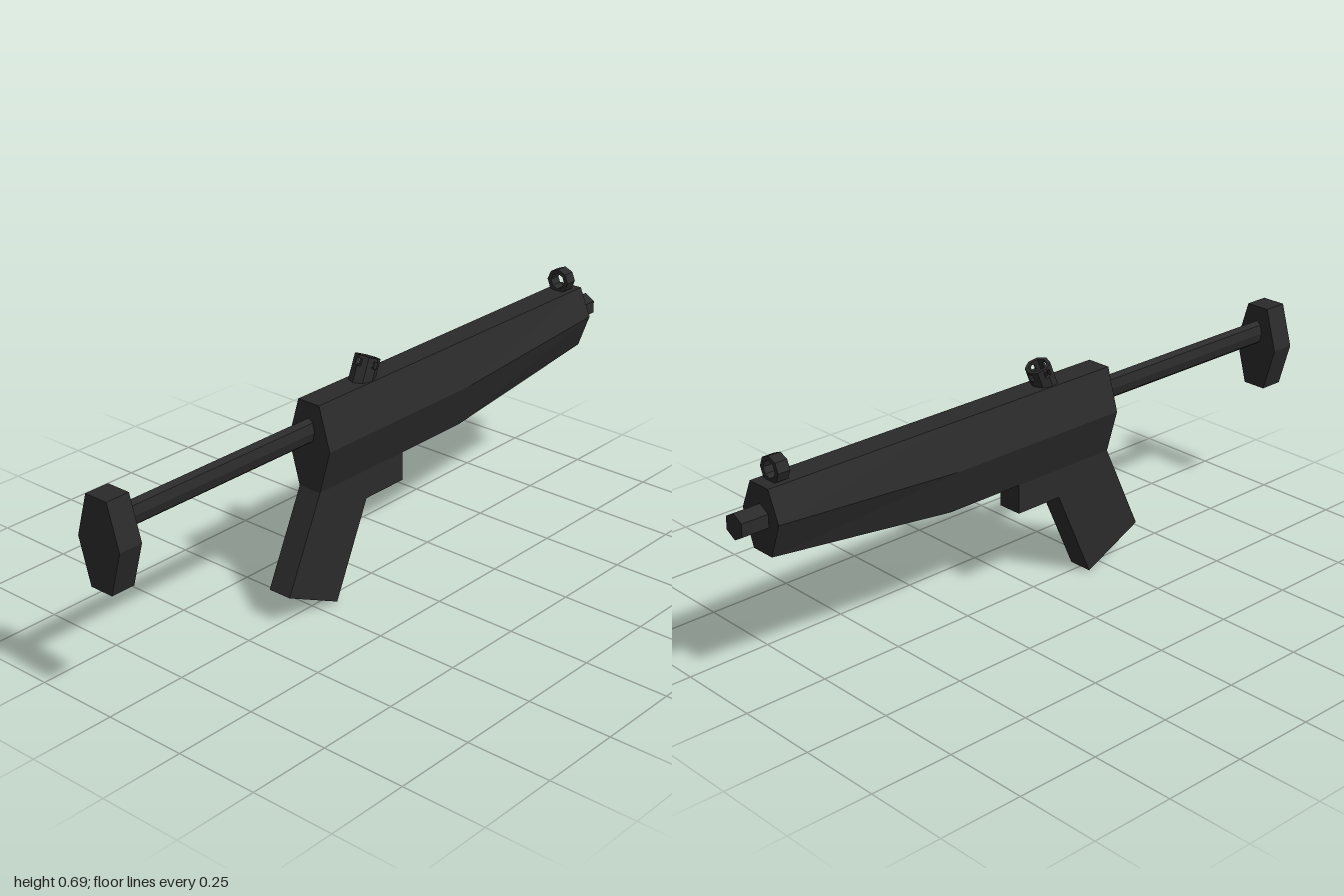
import * as THREE from 'three';

export function createModel() {
  const model = new THREE.Group();
  const material = new THREE.MeshStandardMaterial({ color: 0x2a2a2a, flatShading: true });

  function add(name, geometry, parent = model) {
    const mesh = new THREE.Mesh(geometry, material);
    mesh.name = name;
    parent.add(mesh);
    return mesh;
  }

  // Hexagonal prism through sections [z, top, middle, bottom], ordered back (+z) to front
  function hexLoft(sections, narrow = 0.037, wide = 0.074) {
    const rings = sections.map(([z, top, mid, bottom]) => [
      [narrow, top, z], [-narrow, top, z], [-wide, mid, z],
      [-narrow, bottom, z], [narrow, bottom, z], [wide, mid, z],
    ]);
    const pos = [];
    const tri = (a, b, c) => pos.push(...a, ...b, ...c);
    for (let s = 0; s < rings.length - 1; s++) {
      for (let i = 0; i < 6; i++) {
        const j = (i + 1) % 6;
        const [a, b, c, d] = [rings[s][i], rings[s][j], rings[s + 1][j], rings[s + 1][i]];
        tri(a, d, c);
        tri(a, c, b);
      }
    }
    const last = rings[rings.length - 1];
    for (let i = 1; i < 5; i++) {
      tri(rings[0][0], rings[0][i], rings[0][i + 1]);
      tri(last[0], last[i + 1], last[i]);
    }
    const g = new THREE.BufferGeometry();
    g.setAttribute('position', new THREE.Float32BufferAttribute(pos, 3));
    g.computeVertexNormals();
    return g;
  }

  const extrude = (shape, depth) => new THREE.ExtrudeGeometry(shape, { depth, bevelEnabled: false });
  const polygon = (r, n = 8) => Array.from({ length: n }, (_, i) =>
    new THREE.Vector2(r * Math.cos((i * 2 * Math.PI) / n), r * Math.sin((i * 2 * Math.PI) / n)));

  function ring(outer, inner, depth) {
    const shape = new THREE.Shape(polygon(outer));
    shape.holes.push(new THREE.Path(polygon(inner)));
    return extrude(shape, depth);
  }

  // Body with tapering fore end, and shoulder plate
  add('body', hexLoft([
    [0.252, 0.615, 0.49, 0.36], [-0.337, 0.615, 0.49, 0.36], [-0.92, 0.615, 0.53, 0.43],
  ]));
  add('shoulderPlate', hexLoft([[1, 0.615, 0.49, 0.36], [0.927, 0.615, 0.49, 0.36]]));

  // Oval rod joining body and shoulder plate
  const rod = new THREE.CylinderGeometry(0.037, 0.037, 0.7, 8).rotateX(Math.PI / 2);
  rod.scale(0.53, 1, 1).translate(0, 0.533, 0.59);
  add('stockRod', rod);

  // Six-sided muzzle with corners at left and right
  const muzzle = new THREE.CylinderGeometry(0.037, 0.037, 0.1, 6).rotateY(Math.PI / 6);
  muzzle.rotateY(Math.PI / 3 - Math.PI / 6 + Math.PI / 6 + Math.PI / 6).rotateX(Math.PI / 2);
  add('muzzle', muzzle.translate(0, 0.528, -0.95));

  // Slanted grip and the block ahead of it, drawn in (-z, y)
  const gripShape = new THREE.Shape([
    [-0.252, 0.36], [-0.378, 0.091], [-0.187, 0], [-0.063, 0.274],
    [0.09, 0.274], [0.09, 0.36],
  ].map(([x, y]) => new THREE.Vector2(x, y)));
  add('grip', extrude(gripShape, 0.074).translate(0, 0, -0.037).rotateY(Math.PI / 2));

  // Front sight ring
  add('frontSight', ring(0.037, 0.024, 0.037).translate(0, 0.645, -0.887));

  // Rear sight: open leaning drum with four peep holes
  const drum = new THREE.Group();
  drum.name = 'rearSight';
  drum.position.set(0, 0.673, 0.015);
  drum.rotation.x = -Math.PI / 8;
  model.add(drum);
  const outer = 0.036, inner = 0.026, half = 0.3;
  const upright = (g, bottom) => g.rotateX(-Math.PI / 2).translate(0, bottom, 0);
  add('drumRim', upright(ring(outer, inner, 0.009), -0.009), drum);
  add('drumBase', upright(ring(outer, inner, 0.061), -0.09), drum);
  for (let q = 0; q < 4; q++) {
    const start = (q * Math.PI) / 2;
    // Facet point near an octagon corner, at the edge of a peep hole
    const edge = (r, a, offset) => {
      const k = (r * Math.cos(Math.PI / 8)) / Math.cos(Math.PI / 8 - half);
      return new THREE.Vector2(k * Math.cos(a + offset), k * Math.sin(a + offset));
    };
    const corner = (r) => new THREE.Vector2(
      r * Math.cos(start + Math.PI / 4), r * Math.sin(start + Math.PI / 4));
    const end = start + Math.PI / 2;
    const wall = new THREE.Shape([
      edge(outer, start, half), corner(outer), edge(outer, end, -half),
      edge(inner, end, -half), corner(inner), edge(inner, start, half),
    ]);
    add('drumWall', upright(extrude(wall, 0.02), -0.029), drum);
  }

  return model;
}
